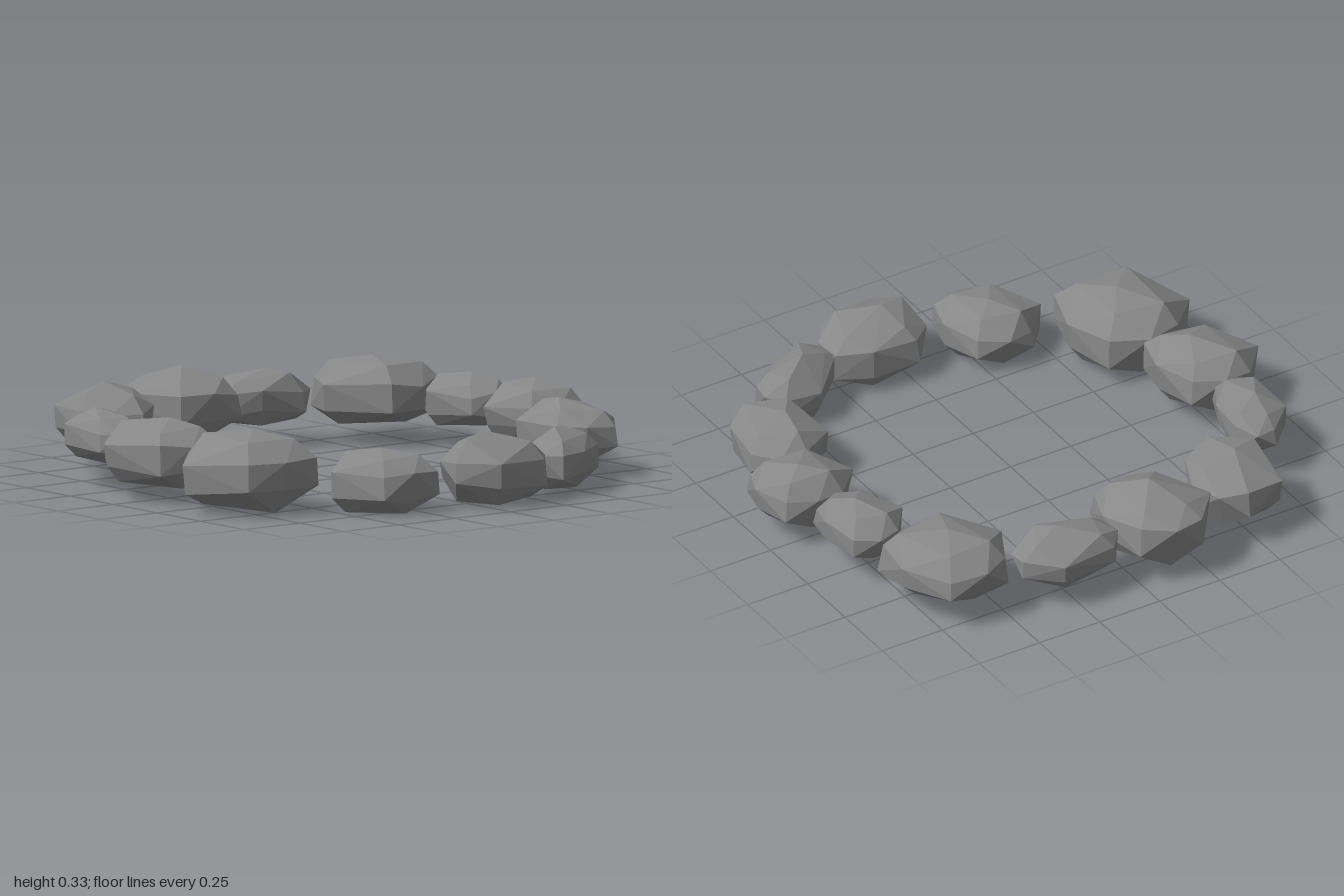
import * as THREE from 'three';
import { ConvexGeometry } from 'three/addons/geometries/ConvexGeometry.js';

// Plan outline shared by all stones: rounded, with one blunt point
const OUTLINE = [
  [-1, -0.1], [-0.72, -0.67], [0.2, -0.87], [0.9, -0.72],
  [1, -0.05], [0.82, 0.53], [-0.25, 1], [-0.92, 0.47],
];

// Each stone: centre x, z, half sizes, turn in degrees, bottom y, top y
const STONES = [
  [-0.61, -0.64, 0.215, 0.22, -15, 0.07, 0.31],
  [-0.25, -0.78, 0.16, 0.15, 0, 0.09, 0.28],
  [0.07, -0.83, 0.15, 0.195, 0, 0.06, 0.29],
  [0.4, -0.73, 0.19, 0.18, 20, 0.04, 0.27],
  [0.71, -0.45, 0.2, 0.13, 62, 0.02, 0.23],
  [0.79, -0.09, 0.2, 0.19, -75, 0.01, 0.26],
  [0.68, 0.33, 0.18, 0.19, 0, 0, 0.22],
  [0.4, 0.72, 0.22, 0.24, 0, 0.01, 0.29],
  [-0.02, 0.79, 0.19, 0.2, 0, 0.05, 0.29],
  [-0.38, 0.755, 0.19, 0.125, 18, 0.09, 0.28],
  [-0.7, 0.48, 0.19, 0.19, 38, 0.07, 0.31],
  [-0.76, 0.12, 0.2, 0.21, 0, 0.06, 0.33],
  [-0.77, -0.25, 0.2, 0.14, 102, 0.08, 0.28],
];

// Rings of a stone: height fraction, outline scale, every how many corners
const RINGS = [
  [0.03, 0.7, 2],
  [0.27, 0.95, 1],
  [0.63, 0.95, 1],
  [0.87, 0.68, 2],
];

// Small seeded generator, -1 to 1
function makeNoise(seed) {
  let s = seed * 7919 + 17;
  return () => {
    s = (s * 16807) % 2147483647;
    return (s / 2147483647) * 2 - 1;
  };
}

function stoneGeometry(hx, hz, h, noise) {
  const points = [];
  RINGS.forEach(([level, scale, step], r) => {
    for (let i = r % 2; i < OUTLINE.length; i += step) {
      // alternate corners of the two middle rings reach the full outline
      const full = step === 1 && (i + r) % 2 === 0;
      const k = full ? 1 : scale + noise() * 0.04;
      const y = h * Math.max(0, level + noise() * 0.06);
      points.push(new THREE.Vector3(OUTLINE[i][0] * hx * k, y, OUTLINE[i][1] * hz * k));
    }
  });
  // resting point and peak
  for (const y of [0, h]) {
    points.push(new THREE.Vector3(noise() * 0.2 * hx, y, noise() * 0.2 * hz));
  }
  return new ConvexGeometry(points);
}

export function createModel() {
  const group = new THREE.Group();
  group.name = 'stoneRing';
  const material = new THREE.MeshStandardMaterial({ color: 0x878787, flatShading: true });
  STONES.forEach(([x, z, hx, hz, turn, bottom, top], i) => {
    const stone = new THREE.Mesh(stoneGeometry(hx, hz, top - bottom, makeNoise(i + 1)), material);
    stone.name = `stone${i + 1}`;
    stone.position.set(x, bottom, z);
    stone.rotation.y = -THREE.MathUtils.degToRad(turn);
    group.add(stone);
  });
  return group;
}
